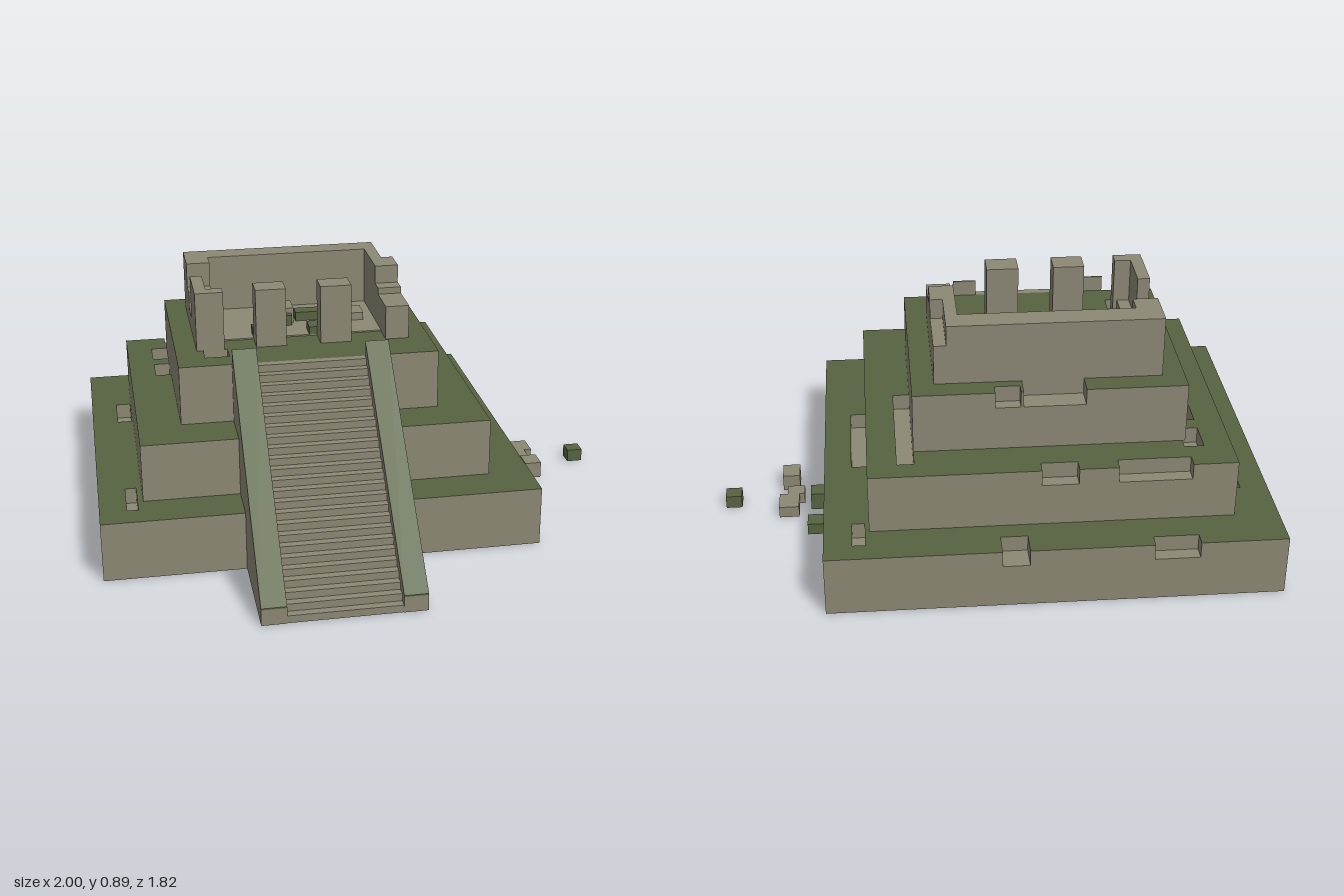
import * as THREE from 'three';

export function createModel() {
  const root = new THREE.Group();
  root.name = 'ruinedStepPyramid';
  const stone = new THREE.MeshStandardMaterial({ name: 'stone', color: 0x8d8875 });
  const moss = new THREE.MeshStandardMaterial({ name: 'moss', color: 0x576342 });

  const add = (name, geo, mat, parent = root) => {
    const m = new THREE.Mesh(geo, mat);
    m.name = name;
    parent.add(m);
    return m;
  };
  const group = (name) => {
    const g = new THREE.Group();
    g.name = name;
    root.add(g);
    return g;
  };
  // Box given by its limits
  const box = (name, x0, x1, y0, y1, z0, z1, mat, parent) =>
    add(name, new THREE.BoxGeometry(x1 - x0, y1 - y0, z1 - z0)
      .translate((x0 + x1) / 2, (y0 + y1) / 2, (z0 + z1) / 2), mat, parent);
  const poly = (pts) => pts.map(([x, y]) => new THREE.Vector2(x, y));
  // Floor-plan shape (x, z) raised from y0 to y1
  const raise = (outline, holes, y0, y1) => {
    const shape = new THREE.Shape(poly(outline.map(([x, z]) => [x, -z])));
    for (const [x0, x1, z0, z1] of holes) {
      shape.holes.push(new THREE.Path(poly([[x0, -z0], [x1, -z0], [x1, -z1], [x0, -z1]])));
    }
    return new THREE.ExtrudeGeometry(shape, { depth: y1 - y0, bevelEnabled: false })
      .rotateX(-Math.PI / 2).translate(0, y0, 0);
  };
  // Side profile (z, y) stretched from x0 to x1
  const stretch = (pts, x0, x1) =>
    new THREE.ExtrudeGeometry(new THREE.Shape(poly(pts)), { depth: x1 - x0, bevelEnabled: false })
      .rotateY(-Math.PI / 2).translate(x1, 0, 0);

  // Terraces: stone core, mossy top layer with missing blocks.
  // notches break the back edge, pits are holes: [x0, x1, z0, z1]
  const tiers = [
    { x: [-1, 0.615], z: [-0.91, 0.505], y: [0.11, 0.225],
      notches: [[-0.095, 0, -0.82], [-0.69, -0.53, -0.86]],
      pits: [[0.47, 0.515, -0.83, -0.7], [0.455, 0.515, -0.33, 0.05],
        [-0.9, -0.845, -0.58, -0.4], [-0.9, -0.86, 0.23, 0.41]] },
    { x: [-0.84, 0.455], z: [-0.75, 0.345], y: [0.225, 0.445],
      notches: [[-0.28, -0.15, -0.7], [-0.68, -0.42, -0.7]],
      pits: [[-0.74, -0.67, -0.63, -0.51], [-0.74, -0.68, -0.45, -0.33], [0.29, 0.35, -0.67, -0.19]] },
    { x: [-0.68, 0.29], z: [-0.59, 0.18], y: [0.445, 0.67],
      notches: [[-0.09, 0, -0.545], [-0.32, -0.1, -0.51]],
      pits: [[-0.575, -0.485, 0.02, 0.095]] },
  ];
  const depth = 0.06;
  tiers.forEach(({ x, z, y, notches, pits }, i) => {
    const g = group('terrace' + (i + 1));
    box('terraceCore', x[0], x[1], y[0], y[1] - depth, z[0], z[1], stone, g);
    const outline = [[x[0], z[1]], [x[1], z[1]], [x[1], z[0]]];
    for (const [a, b, d] of notches) outline.push([b, z[0]], [b, d], [a, d], [a, z[0]]);
    outline.push([x[0], z[0]]);
    add('terraceTop', raise(outline, pits, y[1] - depth, y[1]), [moss, stone], g);
  });
  // Hollow foot below the lowest terrace
  add('terraceFoot', raise([[-1, 0.505], [0.615, 0.505], [0.615, -0.91], [-1, -0.91]],
    [[-0.995, 0.61, -0.905, 0.5]], 0, 0.11), stone);

  // Staircase
  const stairs = group('staircase');
  const n = 24, rise = 0.67 / n, run = 0.73 / n, zig = [];
  for (let i = 0; i < n; i++) {
    const z = 0.908 - i * run;
    zig.push([z, i * rise], [z, (i + 1) * rise]);
  }
  zig.push([0.178, 0.67]);
  const under = zig.map(([z, y]) => [z - 0.008, Math.max(0, y - 0.008)]).reverse();
  add('steps', stretch([...zig, ...under], -0.395, 0.01), stone, stairs);
  box('stairBack', -0.395, 0.01, 0, 0.11, 0.18, 0.185, stone, stairs);
  for (const [x0, x1] of [[-0.485, -0.395], [0.01, 0.097]]) {
    add('balustrade', stretch([[0.185, 0], [0.91, 0], [0.91, 0.06], [0.185, 0.724]], x0, x1), stone, stairs);
    add('balustradeTop', stretch([[0.185, 0.724], [0.91, 0.06], [0.91, 0.066], [0.185, 0.73]], x0, x1), moss, stairs);
  }

  // Roofless temple with crumbling walls: [name, x0, x1, top, z0, z1]
  const temple = group('temple');
  const base = 0.67, top = 0.895;
  for (const [name, x0, x1, h, z0, z1] of [
    ['floor', -0.51, 0.12, 0.675, -0.42, -0.07],
    ['backWall', -0.6, 0.165, top, -0.51, -0.42],
    ['backCorner', 0.165, 0.21, 0.82, -0.51, -0.3],
    ['sideWall', 0.12, 0.165, top, -0.42, -0.3],
    ['sideWall', 0.12, 0.21, top, -0.3, -0.19],
    ['sideWall', 0.12, 0.21, 0.825, -0.19, -0.13],
    ['sideWall', 0.12, 0.21, 0.8, -0.13, 0.02],
    ['sideWall', -0.6, -0.51, top, -0.42, -0.35],
    ['sideWall', -0.6, -0.51, 0.8, -0.35, -0.28],
    ['sideWall', -0.6, -0.51, 0.73, -0.28, -0.03],
    ['sideWallStub', -0.6, -0.555, top, -0.19, -0.03],
    ['frontCorner', -0.6, -0.495, top, -0.03, 0.02],
    ['pillar', -0.375, -0.26, top, -0.07, 0.02],
    ['pillar', -0.13, -0.012, top, -0.07, 0.02],
  ]) box(name, x0, x1, base, h, z0, z1, stone, temple);

  // Fallen blocks: [x0, x1, z0, z1, height, material]
  const scatter = (name, y, blocks) => {
    const g = group(name);
    for (const [x0, x1, z0, z1, h, mat] of blocks) box('block', x0, x1, y, y + h, z0, z1, mat, g);
  };
  scatter('templeRubble', base, [
    [-0.375, -0.27, -0.145, -0.08, 0.035, moss],
    [-0.16, -0.045, -0.14, -0.07, 0.035, moss],
    [-0.19, -0.08, -0.285, -0.23, 0.04, moss],
    [-0.275, -0.21, -0.22, -0.185, 0.045, moss],
    [-0.335, -0.235, -0.33, -0.275, 0.05, stone],
    [-0.27, -0.2, -0.305, -0.215, 0.065, stone],
    [-0.035, 0.075, -0.285, -0.2, 0.035, stone],
  ]);
  scatter('groundRubble', 0, [
    [0.62, 0.685, -0.43, -0.365, 0.045, moss],
    [0.617, 0.675, -0.265, -0.2, 0.068, moss],
    [0.72, 0.795, -0.31, -0.22, 0.045, stone],
    [0.7, 0.765, -0.22, -0.165, 0.045, stone],
    [0.72, 0.785, -0.125, -0.045, 0.065, stone],
    [0.94, 1, -0.23, -0.17, 0.05, moss],
  ]);
  return root;
}
